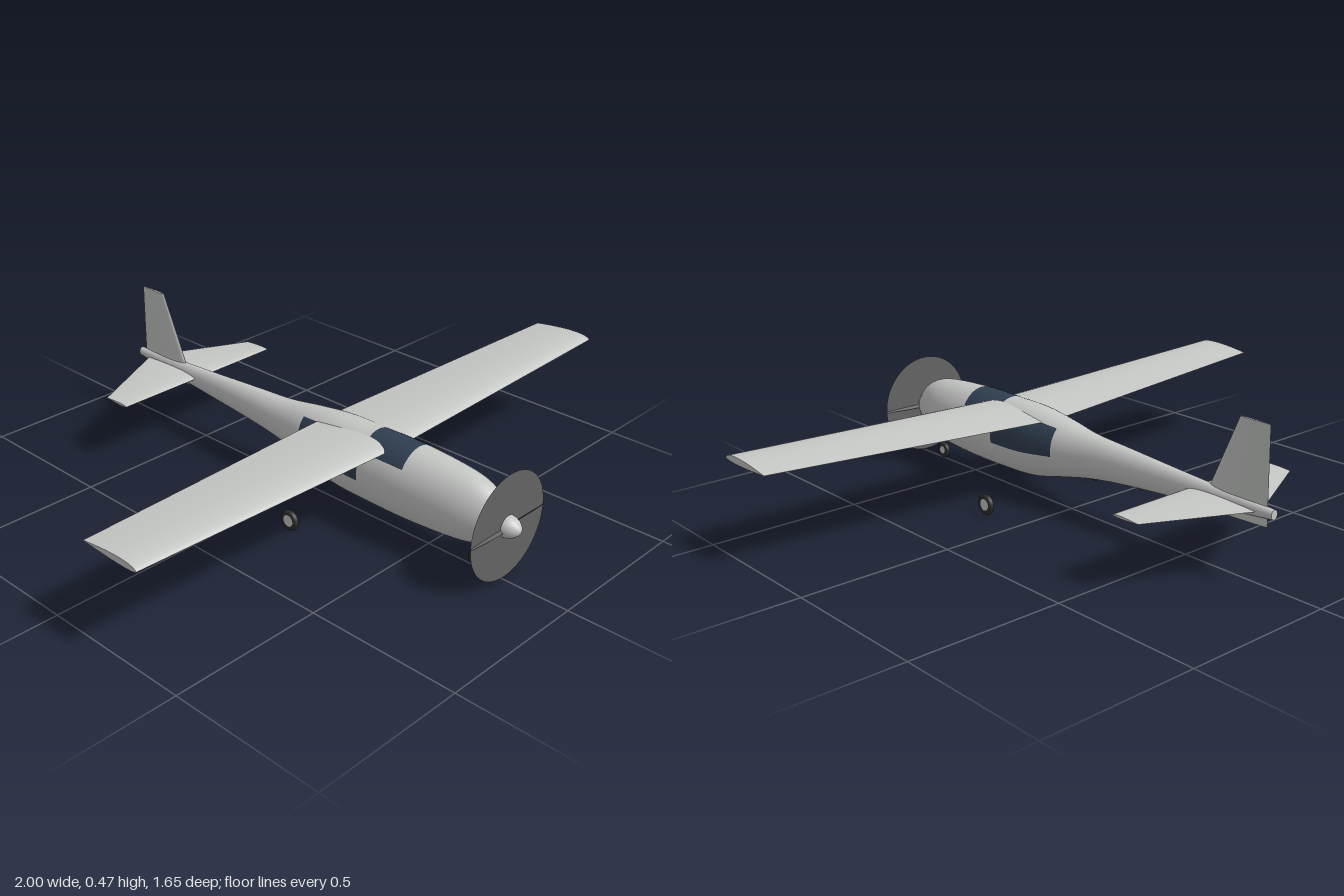
import * as THREE from 'three';
import { toCreasedNormals } from 'three/addons/utils/BufferGeometryUtils.js';

const V = (x, y, z) => new THREE.Vector3(x, y, z);
const paint = (name, color, side = THREE.FrontSide) => {
  const m = new THREE.MeshStandardMaterial({ color, side });
  m.name = name;
  return m;
};

// Fuselage stations: z, top, bottom, half width
const STATIONS = [
  [0.775, 0.228, 0.128, 0.033], [0.74, 0.262, 0.106, 0.05],
  [0.68, 0.29, 0.086, 0.072], [0.6, 0.303, 0.075, 0.088],
  [0.45, 0.312, 0.068, 0.099], [0.29, 0.312, 0.068, 0.099],
  [0.15, 0.31, 0.075, 0.096], [0.02, 0.295, 0.104, 0.075],
  [-0.1, 0.277, 0.13, 0.054], [-0.25, 0.268, 0.15, 0.042],
  [-0.5, 0.253, 0.172, 0.026], [-0.825, 0.235, 0.205, 0.013],
];

// Smooth oval loft; cells inside the glazed areas go to the second group
function fuselageGeometry() {
  const sub = 5, cols = 48, rings = (STATIONS.length - 1) * sub;
  const curves = [1, 2, 3].map(k =>
    new THREE.SplineCurve(STATIONS.map(s => new THREE.Vector2(s[0], s[k]))));
  const pos = [], skin = [], glass = [];
  for (let i = 0; i <= rings; i++) {
    const [top, bottom, width] = curves.map(c => c.getPoint(i / rings));
    for (let j = 0; j < cols; j++) {
      const a = (j / cols) * Math.PI * 2;
      pos.push(width.y * Math.cos(a),
        (top.y + bottom.y) / 2 + (top.y - bottom.y) / 2 * Math.sin(a), top.x);
    }
  }
  for (let i = 0; i < rings; i++) {
    const span = Math.floor(i / sub);
    for (let j = 0; j < cols; j++) {
      const deg = (j + 0.5) * 360 / cols;
      const fromSide = deg < 90 ? deg : deg < 270 ? 180 - deg : deg - 360;
      const windscreen = span === 4 && fromSide > 37.5;
      const sideWindow = (span === 5 || span === 6) && fromSide > -7.5 && fromSide < 52.5;
      const a = i * cols + j, b = i * cols + (j + 1) % cols;
      (windscreen || sideWindow ? glass : skin).push(a, a + cols, b, b, a + cols, b + cols);
    }
  }
  const g = new THREE.BufferGeometry();
  g.setAttribute('position', new THREE.Float32BufferAttribute(pos, 3));
  g.setIndex([...skin, ...glass]);
  g.addGroup(0, skin.length, 0);
  g.addGroup(skin.length, glass.length, 1);
  g.computeVertexNormals();
  return g;
}

// Airfoil loft through sections [leading point, trailing point]
function foilGeometry(sections, up, upper, lower) {
  const ts = [1, 0.85, 0.7, 0.55, 0.4, 0.28, 0.18, 0.1, 0.04, 0.01];
  const f = t => 2.969 * Math.sqrt(t) - 1.26 * t - 3.516 * t ** 2 + 2.843 * t ** 3 - 1.015 * t ** 4;
  const loop = [...ts.map(t => [t, upper * f(t)]), [0, 0],
    ...ts.slice().reverse().map(t => [t, -lower * f(t)])];
  const n = loop.length, pos = [], idx = [];
  for (const [le, te] of sections) {
    const chord = le.distanceTo(te);
    for (const [t, h] of loop)
      pos.push(...le.clone().lerp(te, t).addScaledVector(up, h * chord).toArray());
  }
  const last = (sections.length - 1) * n;
  for (let s = 0; s < last; s += n)
    for (let j = 0; j < n; j++) {
      const a = s + j, b = s + (j + 1) % n;
      idx.push(a, b, a + n, b, b + n, a + n);
    }
  for (let j = 1; j < n - 1; j++)
    idx.push(0, j + 1, j, last, last + j, last + j + 1);
  const g = new THREE.BufferGeometry();
  g.setAttribute('position', new THREE.Float32BufferAttribute(pos, 3));
  g.setIndex(idx);
  return toCreasedNormals(g, 0.7);
}

export function createModel() {
  const model = new THREE.Group();
  const body = paint('body grey', 0xc6c8c6);
  const glass = paint('window navy', 0x2f3e50);
  const discGrey = paint('propeller disc grey', 0x636363, THREE.DoubleSide);
  const bladeGrey = paint('blade dark grey', 0x4a4a4a);
  const rubber = paint('tyre black', 0x2c2c2c);

  const add = (name, geo, mat, parent = model) => {
    const m = new THREE.Mesh(geo, mat);
    m.name = name;
    parent.add(m);
    return m;
  };

  add('fuselage', fuselageGeometry(), [body, glass]);
  // Flat ends of the fuselage
  for (const [name, s, turn] of [['noseCap', STATIONS[0], 0], ['tailCap', STATIONS.at(-1), Math.PI]]) {
    const cap = add(name, new THREE.CircleGeometry(1, 48), body);
    cap.scale.set(s[3], (s[1] - s[2]) / 2, 1);
    cap.position.set(0, (s[1] + s[2]) / 2, s[0]);
    cap.rotation.y = turn;
  }

  // Wing and tail surfaces
  const wingTip = x => [V(x, 0.312, 0.37), V(x, 0.312, 0.155)];
  add('wing', foilGeometry(
    [wingTip(-1), [V(0, 0.28, 0.37), V(0, 0.28, 0.078)], wingTip(1)],
    V(0, 1, 0), 0.07, 0.032), body);
  const tailTip = x => [V(x, 0.217, -0.52), V(x, 0.217, -0.62)];
  add('tailplane', foilGeometry(
    [tailTip(-0.32), [V(0, 0.217, -0.52), V(0, 0.217, -0.778)], tailTip(0.32)],
    V(0, 1, 0), 0.04, 0.04), body);
  add('fin', foilGeometry(
    [[V(0, 0.175, -0.557), V(0, 0.175, -0.802)], [V(0, 0.473, -0.69), V(0, 0.473, -0.798)]],
    V(-1, 0, 0), 0.04, 0.04), body);

  // Propeller: spinner, blurred disc and two pitched blades
  const propeller = new THREE.Group();
  propeller.name = 'propeller';
  propeller.position.set(0, 0.18, 0.779);
  model.add(propeller);
  const spinnerProfile = [[0, -0.01], [0.034, -0.01], [0.035, 0], [0.033, 0.012], [0.027, 0.026],
    [0.017, 0.038], [0.008, 0.044], [0, 0.046]].map(p => new THREE.Vector2(...p));
  add('spinner', new THREE.LatheGeometry(spinnerProfile, 32).rotateX(Math.PI / 2), body, propeller);
  add('propellerDisc', new THREE.CircleGeometry(0.17, 64), discGrey, propeller);
  const bladeSection = (x, r) => [V(x, r, r), V(x, -r, -r)];
  const blade = foilGeometry([bladeSection(0.01, 0.009), bladeSection(0.09, 0.007), bladeSection(0.169, 0.003)],
    V(0, Math.SQRT1_2, -Math.SQRT1_2), 0.06, 0.06);
  for (const side of [0, 1])
    add('propellerBlade', blade, bladeGrey, propeller).rotation.z = side * Math.PI;

  // Wheels: nose, left main, right main
  const wheel = (name, x, z, radius, hubRadius, tube) => {
    const g = new THREE.Group();
    g.name = name;
    g.position.set(x, radius, z);
    model.add(g);
    add('tyre', new THREE.TorusGeometry(radius - tube, tube, 14, 36).rotateY(Math.PI / 2), rubber, g);
    add('hub', new THREE.CylinderGeometry(hubRadius, hubRadius, tube * 1.7, 28).rotateZ(Math.PI / 2), body, g);
  };
  wheel('noseWheel', 0, 0.68, 0.029, 0.014, 0.009);
  wheel('leftMainWheel', 0.235, 0.145, 0.034, 0.02, 0.01);
  wheel('rightMainWheel', -0.235, 0.145, 0.034, 0.02, 0.01);

  return model;
}
